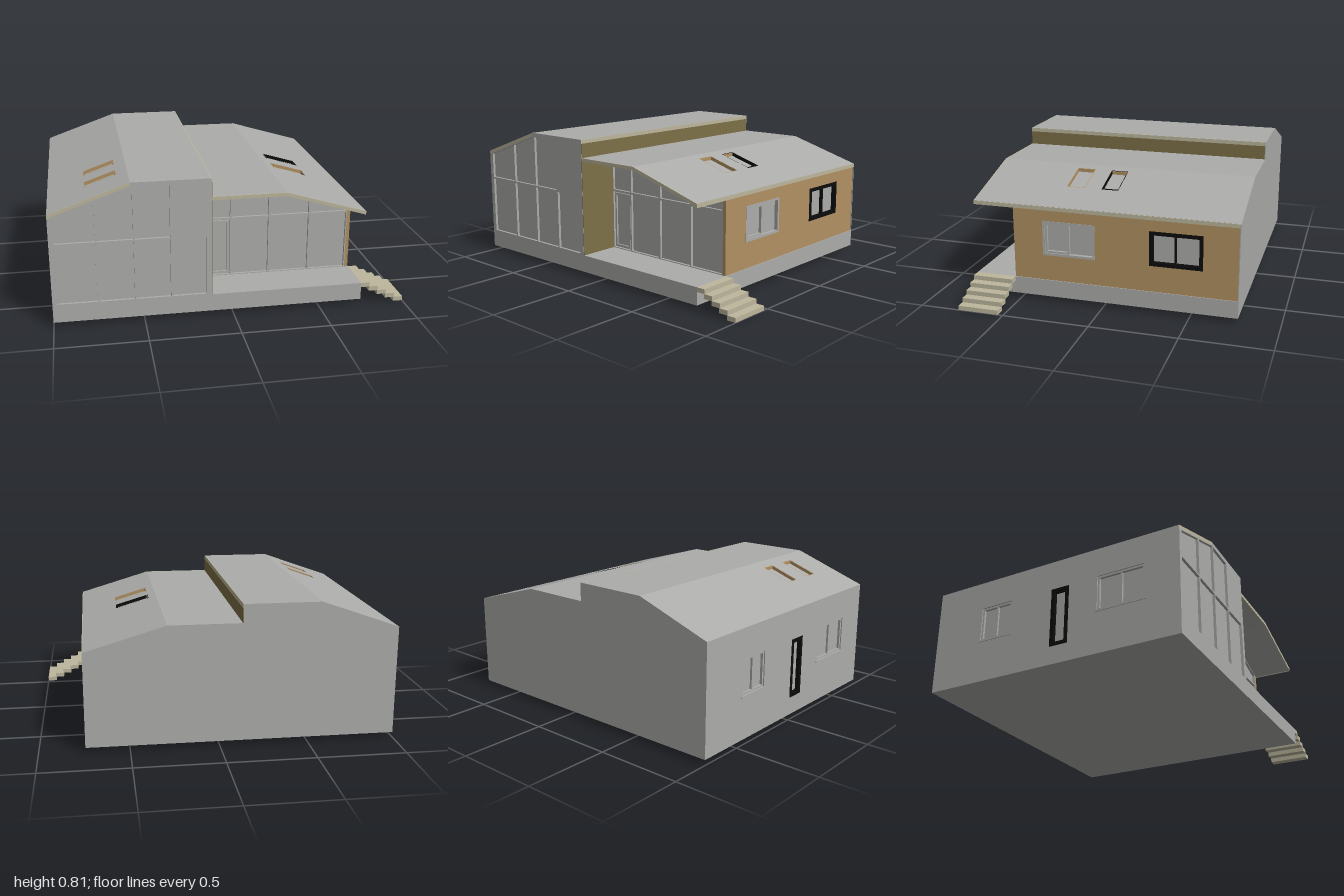
import * as THREE from 'three';

const mat = (name, color, double) => {
  const m = new THREE.MeshStandardMaterial({ color });
  m.name = name;
  return m;
};

export function createModel() {
  const house = new THREE.Group();
  house.name = 'house';
  const grey = mat('grey render', 0xacacaa);
  const tan = mat('tan cladding', 0xb19162);
  const olive = mat('olive cladding', 0x7d7048);
  const cream = mat('cream trim', 0xbdb79e);
  const black = mat('black frame', 0x0c0c0c);

  // Roof heights across the width
  const roofL = x => Math.min(0.81, 0.655 + (x + 1) * (0.155 / 0.44));
  const roofR = x => Math.min(0.705, 0.705 - (x - 0.29) * (0.135 / 0.455));

  const add = (parent, name, geo, material) => {
    const mesh = new THREE.Mesh(geo, material);
    mesh.name = name;
    parent.add(mesh);
    return mesh;
  };
  const box = (name, material, x0, x1, y0, y1, z0, z1) => {
    const m = add(house, name, new THREE.BoxGeometry(x1 - x0, y1 - y0, z1 - z0), material);
    m.position.set((x0 + x1) / 2, (y0 + y1) / 2, (z0 + z1) / 2);
  };
  const rect = (x0, x1, y0, y1) => [[x0, y0], [x1, y0], [x1, y1], [x0, y1]];
  const vec = pts => pts.map(p => new THREE.Vector2(...p));
  const extrude = (outline, holes, depth) => {
    const shape = new THREE.Shape(vec(outline));
    for (const h of holes) shape.holes.push(new THREE.Path(vec(h)));
    return new THREE.ExtrudeGeometry(shape, { depth, bevelEnabled: false });
  };
  const slab = (parent, name, material, outline, holes, z0, z1) =>
    add(parent, name, extrude(outline, holes, z1 - z0).translate(0, 0, z0), material);
  // Rectangular frame with border t
  const frame = (parent, name, material, x0, x1, y0, y1, t, z0, z1) =>
    slab(parent, name, material, rect(x0, x1, y0, y1), [rect(x0 + t, x1 - t, y0 + t, y1 - t)], z0, z1);
  // Outline whose top edge follows a roof
  const under = (x0, x1, y0, roof, drop, ridge) => {
    const pts = [[x0, y0], [x1, y0], [x1, roof(x1) - drop]];
    if (ridge > x0 && ridge < x1) pts.push([ridge, roof(ridge) - drop]);
    pts.push([x0, roof(x0) - drop]);
    return pts;
  };

  // Foundation and back wall
  box('foundation', grey, -1, 0.745, 0.03, 0.13, -0.77, 0.77);
  slab(house, 'backWallLeft', grey, under(-1, -0.125, 0.13, roofL, 0, -0.56), [], -0.77, -0.765);
  slab(house, 'backWallRight', grey, under(-0.125, 0.745, 0.13, roofR, 0, 0.29), [], -0.77, -0.765);

  // Solid bodies, whose faces form the recessed panes
  slab(house, 'tallBody', grey, under(-0.98, -0.125, 0.13, roofL, 0.02, -0.56), [], -0.765, 0.755);
  slab(house, 'lowBody', grey, under(-0.125, 0.72, 0.13, roofR, 0.02, 0.29), [], -0.765, 0.515);

  // Glazed front walls
  const leftPanes = [], rightPanes = [];
  const leftCols = [[-0.973, -0.757], [-0.748, -0.552], [-0.545, -0.353], [-0.343, -0.155]];
  leftCols.forEach(([a, b], i) => {
    leftPanes.push(rect(a, b, 0.137, 0.477));
    if (i < 3) leftPanes.push(under(a, b, 0.488, roofL, 0.027, -0.56));
  });
  const rightCols = [[-0.118, 0.022], [0.031, 0.247], [0.262, 0.487], [0.496, 0.714]];
  for (const [a, b] of rightCols) {
    rightPanes.push(rect(a, b, 0.135, 0.477));
    rightPanes.push(under(a, b, 0.488, roofR, 0.026, 0.29));
  }
  slab(house, 'tallFrontWall', grey, under(-1, -0.125, 0.13, roofL, 0.02, -0.56), leftPanes, 0.755, 0.77);
  slab(house, 'lowFrontWall', grey, under(-0.125, 0.72, 0.13, roofR, 0.02, 0.29), rightPanes, 0.515, 0.53);
  frame(house, 'porchDoorFrame', grey, -0.11, 0.014, 0.142, 0.47, 0.012, 0.515, 0.525);

  // Side walls: drawn in (-z, y) and turned to face sideways
  const side = (name, x) => {
    const g = new THREE.Group();
    g.name = name;
    g.rotation.y = Math.PI / 2;
    g.position.x = x;
    house.add(g);
    return g;
  };
  const right = side('rightSide', 0.72);
  slab(right, 'tanWall', tan, rect(-0.53, 0.765, 0.13, 0.552),
    [rect(-0.355, -0.045, 0.28, 0.485), rect(0.27, 0.57, 0.283, 0.483)], 0, 0.02);
  frame(right, 'greyWindowFrame', grey, -0.355, -0.045, 0.28, 0.485, 0.014, 0, 0.022);
  frame(right, 'greyWindowSash', grey, -0.341, -0.197, 0.294, 0.471, 0.012, 0, 0.016);
  frame(right, 'blackWindowFrame', black, 0.27, 0.57, 0.283, 0.483, 0.021, 0, 0.024);
  slab(right, 'blackWindowMullion', black, rect(0.411, 0.42, 0.3, 0.47), [], 0, 0.02);

  const left = side('leftSide', -1);
  const windows = [[-0.57, -0.29], [0.26, 0.46]];
  slab(left, 'greyWall', grey, rect(-0.755, 0.765, 0.13, 0.637),
    [...windows.map(([a, b]) => rect(a, b, 0.28, 0.485)), rect(-0.115, -0.005, 0.135, 0.48)], 0, 0.02);
  for (const [a, b] of windows) {
    frame(left, 'sideWindowFrame', grey, a, b, 0.28, 0.485, 0.012, 0.006, 0.02);
    slab(left, 'sideWindowMullion', grey, rect((a + b) / 2 - 0.006, (a + b) / 2 + 0.006, 0.29, 0.475), [], 0.008, 0.02);
    slab(left, 'windowSill', grey, rect(a - 0.01, b + 0.01, 0.272, 0.28), [], -0.004, 0.01);
  }
  frame(left, 'sideDoorFrame', black, -0.115, -0.005, 0.135, 0.48, 0.022, -0.002, 0.02);

  // Roof panels: flat plates sheared to the roof slope
  const roofPanel = (name, material, x0, x1, z0, z1, holes, roof, h = 0.02) => {
    const flip = (a, b, c, d) => rect(a, b, -d, -c);
    const geo = extrude(flip(x0, x1, z0, z1), holes.map(q => flip(...q)), h).rotateX(-Math.PI / 2);
    const p = geo.attributes.position;
    for (let i = 0; i < p.count; i++) p.setY(i, p.getY(i) + roof(p.getX(i)) - 0.02);
    geo.computeVertexNormals();
    add(house, name, geo, material);
  };
  const lightsL = [[-0.795, -0.62, 0.27, 0.36], [-0.795, -0.62, 0.47, 0.56]];
  const lightsR = [[0.335, 0.535, -0.03, 0.07], [0.335, 0.535, 0.17, 0.28]];
  roofPanel('tallRoofSlope', grey, -1, -0.56, -0.765, 0.765, lightsL, roofL);
  roofPanel('tallRoofFlat', grey, -0.56, -0.129, -0.765, 0.77, [], roofL);
  roofPanel('lowRoofFlat', grey, -0.125, 0.29, -0.765, 0.765, [], roofR);
  roofPanel('lowRoofSlope', grey, 0.29, 0.742, -0.765, 0.765, lightsR, roofR);

  // Skylight linings
  const lining = ([a, b, c, d], material, roof) => {
    const t = 0.004;
    roofPanel('skylightLining', material, a, b, c, d, [[a + t, b - t, c + t, d - t]], roof, 0.0195);
  };
  lightsL.forEach(q => lining(q, tan, roofL));
  lining(lightsR[0], black, roofR);
  lining(lightsR[1], tan, roofR);
  roofPanel('skylightBlackSill', black, 0.523, 0.531, -0.026, 0.066, [], roofR, 0.019);
  roofPanel('skylightTanHead', tan, 0.339, 0.342, -0.026, 0.066, [], roofR, 0.019);

  // Cream fascias
  const fascia = (name, x0, x1, roof) => slab(house, name, cream,
    [[x0, roof(x0) - 0.02], [x1, roof(x1) - 0.02], [x1, roof(x1)], [x0, roof(x0)]], [], 0.765, 0.77);
  fascia('tallFascia', -1, -0.56, roofL);
  fascia('lowFlatFascia', -0.125, 0.29, roofR);
  fascia('lowSlopeFascia', 0.29, 0.745, roofR);
  box('eaveFascia', cream, 0.742, 0.746, 0.548, 0.57, -0.765, 0.77);
  box('stepRoofTrim', cream, -0.129, -0.124, 0.787, 0.81, -0.765, 0.77);

  // Olive faces where the tall half rises beside the low half
  box('oliveStepWall', olive, -0.126, -0.122, 0.7, 0.787, -0.765, 0.769);
  box('olivePorchWall', olive, -0.126, -0.122, 0.13, 0.686, 0.53, 0.769);

  // Entrance steps
  for (let i = 0; i < 5; i++) {
    const x = 0.745 + i * 0.051, top = 0.13 - i * 0.026;
    box('step', cream, x - (i ? 0.004 : 0), x + 0.051, top - 0.026, top, 0.53, 0.77);
  }
  return house;
}
